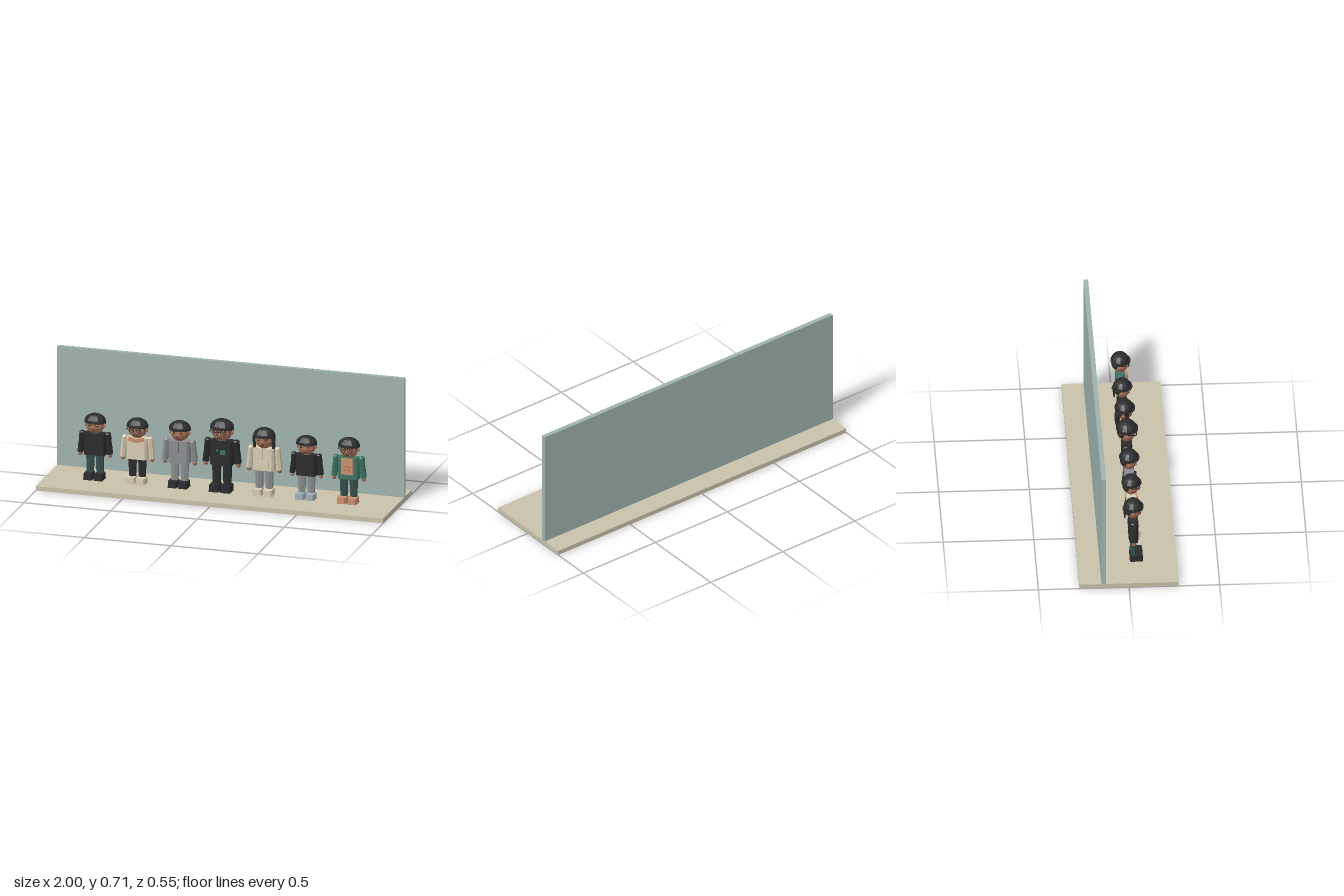
import * as THREE from 'three';

const mat = (name, color) => {
  const m = new THREE.MeshStandardMaterial({ color, side: THREE.DoubleSide, flatShading: true });
  m.name = name;
  return m;
};

export function createModel() {
  const wall = mat('paleTeal', 0x9fb3af);
  const floor = mat('sand', 0xc9c1ab);
  const black = mat('charcoal', 0x2b2b2d);
  const cream = mat('cream', 0xd9ccb2);
  const grey = mat('grey', 0x8b8d90);
  const teal = mat('teal', 0x3f7463);
  const darkTeal = mat('darkTeal', 0x344f4b);
  const skin = mat('skin', 0xa9735a);
  const tan = mat('tan', 0xc98f6e);
  const paleBlue = mat('paleBlue', 0xa3b1ba);

  const add = (parent, name, geo, material, x = 0, y = 0, z = 0) => {
    const m = new THREE.Mesh(geo, material);
    m.name = name;
    m.position.set(x, y, z);
    parent.add(m);
    return m;
  };
  const box = (w, h, d) => new THREE.BoxGeometry(w, h, d);
  const ball = (rx, ry, rz, ws = 10, hs = 7, t0 = 0, t1 = Math.PI) =>
    new THREE.SphereGeometry(1, ws, hs, 0, Math.PI * 2, t0, t1).scale(rx, ry, rz);
  // Six-sided tapered limb, squashed to its own width and depth
  const limb = (top, bottom, h, depth) =>
    new THREE.CylinderGeometry(top, bottom, h, 6).scale(1, 1, depth);
  // Box with tapered top and bevelled corners, for torso and shoes
  const block = (w, h, d, bevel) => {
    const s = new THREE.Shape();
    const a = w / 2 - bevel, b = d / 2 - bevel;
    s.moveTo(-a, -b - bevel); s.lineTo(a, -b - bevel); s.lineTo(a + bevel, -b); s.lineTo(a + bevel, b);
    s.lineTo(a, b + bevel); s.lineTo(-a, b + bevel); s.lineTo(-a - bevel, b); s.lineTo(-a - bevel, -b);
    s.closePath();
    return new THREE.ExtrudeGeometry(s, { depth: h, bevelEnabled: false })
      .rotateX(-Math.PI / 2).translate(0, -h / 2, 0);
  };

  function createFigure(o) {
    const g = new THREE.Group();
    g.name = 'figure';
    for (const s of [-1, 1]) {
      // Shoes and legs
      add(g, 'sole', block(0.053, 0.006, 0.073, 0.006), o.shoes, s * 0.03, 0.003, 0.016);
      add(g, 'shoe', block(0.05, 0.029, 0.07, 0.007), o.shoes, s * 0.03, 0.0205, 0.016);
      add(g, 'leg', limb(0.025, 0.022, 0.11, 0.75), o.pants, s * 0.028, 0.088, 0);
      // Arms hang slightly outward
      const arm = new THREE.Group();
      arm.name = 'arm';
      arm.position.set(s * 0.074, 0.262, 0);
      arm.rotation.z = s * 0.09;
      g.add(arm);
      add(arm, 'sleeve', limb(0.016, 0.015, 0.062, 1.35), o.shirt, 0, -0.031, 0);
      add(arm, 'forearm', limb(0.016, 0.017, 0.055, 1.35), o.sleeve || o.shirt, 0, -0.088, 0);
      add(arm, 'shoulder', ball(0.016, 0.008, 0.021, 6, 4), o.shirt);
      add(arm, 'hand', ball(0.014, 0.017, 0.016, 6, 4), skin, 0, -0.122, 0);
    }
    // Torso and neck
    add(g, 'torso', block(0.118, 0.125, 0.052, 0.01), o.shirt, 0, 0.2, 0);
    add(g, 'belt', block(0.108, 0.01, 0.042, 0.008), o.pants, 0, 0.137, 0);
    add(g, 'neck', limb(0.019, 0.022, 0.02, 1), skin, 0, 0.266, 0);
    // Head and face
    add(g, 'head', ball(0.054, 0.053, 0.045), skin, 0, 0.312, 0);
    add(g, 'nose', ball(0.006, 0.007, 0.007, 6, 4), skin, 0, 0.303, 0.045);
    add(g, 'mouth', box(0.02, 0.004, 0.004), black, 0, 0.285, 0.04);
    for (const s of [-1, 1]) {
      add(g, 'ear', ball(0.007, 0.012, 0.008, 6, 4), skin, s * 0.054, 0.308, 0);
      add(g, 'eye', ball(0.007, 0.008, 0.004, 8, 4), black, s * 0.02, 0.317, 0.043);
      add(g, 'eyeGlint', box(0.004, 0.004, 0.002), cream, s * 0.02 + 0.002, 0.32, 0.047);
      add(g, 'eyebrow', box(0.02, 0.004, 0.005), black, s * 0.02, 0.331, 0.043);
      if (o.glasses) {
        add(g, 'lensFrame', new THREE.TorusGeometry(0.014, 0.0022, 4, 12), black, s * 0.02, 0.316, 0.048);
        add(g, 'glassesTemple', box(0.003, 0.003, 0.045), black, s * 0.052, 0.318, 0.024);
      }
    }
    if (o.glasses) add(g, 'glassesBridge', box(0.014, 0.003, 0.003), black, 0, 0.317, 0.049);
    // Cap dome, band and brim
    add(g, 'cap', ball(0.063, 0.049, 0.051, 12, 5, 0, Math.PI / 2), black, 0, 0.326, 0);
    add(g, 'capBand', new THREE.CylinderGeometry(0.062, 0.059, 0.012, 12).scale(1, 1, 0.82), black, 0, 0.328, -0.003);
    add(g, 'backHair', ball(0.055, 0.034, 0.026, 10, 6), black, 0, 0.317, -0.024);
    const brim = add(g, 'brim', new THREE.CylinderGeometry(0.045, 0.047, 0.006, 10, 1, false, -Math.PI / 2, Math.PI)
      .scale(1, 1, 0.55), black, 0, 0.333, 0.033);
    brim.rotation.x = 0.12;

    // Long hair, ponytail and clothing details
    if (o.longHair) {
      add(g, 'longHair', ball(0.052, 0.065, 0.015, 8, 6), black, 0, 0.27, -0.038);
      for (const s of [-1, 1])
        add(g, 'hairLock', limb(0.011, 0.007, 0.085, 1.3), black, s * 0.053, 0.285, 0.008);
    }
    if (o.ponytail) {
      add(g, 'ponytailKnot', ball(0.013, 0.016, 0.012, 8, 5), black, 0, 0.32, -0.048);
      add(g, 'ponytail', limb(0.011, 0.004, 0.06, 0.9), black, 0, 0.285, -0.046);
    }
    if (o.collar)
      for (const s of [-1, 1]) {
        const c = add(g, 'collar', box(0.045, 0.022, 0.007), o.collar, s * 0.022, 0.253, 0.029);
        c.rotation.z = s * 0.3;
      }
    if (o.panel) {
      add(g, 'chestPanel', block(0.07, 0.092, 0.014, 0.004), o.panel, 0, 0.214, 0.033);
      add(g, 'chestPocket', box(0.032, 0.03, 0.004), skin, 0, 0.206, 0.0415);
      add(g, 'pocketFront', box(0.022, 0.02, 0.003), o.panel, 0, 0.206, 0.0435);
    }
    if (o.patch) {
      add(g, 'chestPatch', box(0.026, 0.022, 0.004), o.patch, 0.012, 0.205, 0.028);
      add(g, 'smallPatch', box(0.014, 0.01, 0.004), o.patch, -0.016, 0.214, 0.028);
    }
    if (o.seam) {
      add(g, 'frontPocket', box(0.06, 0.032, 0.006), o.shirt, 0, 0.172, 0.028);
      add(g, 'frontSeam', box(0.003, 0.06, 0.003), o.seam, 0, 0.228, 0.027);
    }
    return g;
  }

  const model = new THREE.Group();
  model.name = 'lineUp';
  add(model, 'floor', box(2, 0.026, 0.546), floor, 0, 0.013, 0);
  add(model, 'wall', box(2, 0.687, 0.026), wall, 0, 0.3695, -0.139);

  // Seven figures in a row
  const figures = [
    { scale: 1, shirt: black, pants: darkTeal, shoes: black, ponytail: true },
    { scale: 0.99, shirt: cream, pants: black, shoes: cream, collar: tan, glasses: true },
    { scale: 1.01, shirt: grey, pants: grey, shoes: black, seam: black },
    { scale: 1.1, shirt: black, pants: black, shoes: black, patch: teal, glasses: true },
    { scale: 1.025, shirt: cream, pants: grey, shoes: cream, longHair: true, seam: grey },
    { scale: 0.965, shirt: black, pants: grey, shoes: paleBlue, ponytail: true },
    { scale: 0.995, shirt: teal, pants: darkTeal, shoes: tan, panel: tan, glasses: true },
  ];
  figures.forEach((o, i) => {
    const f = createFigure(o);
    f.scale.setScalar(o.scale);
    f.position.set((i - 3) * 0.2435, 0.026, 0.036);
    model.add(f);
  });
  return model;
}
